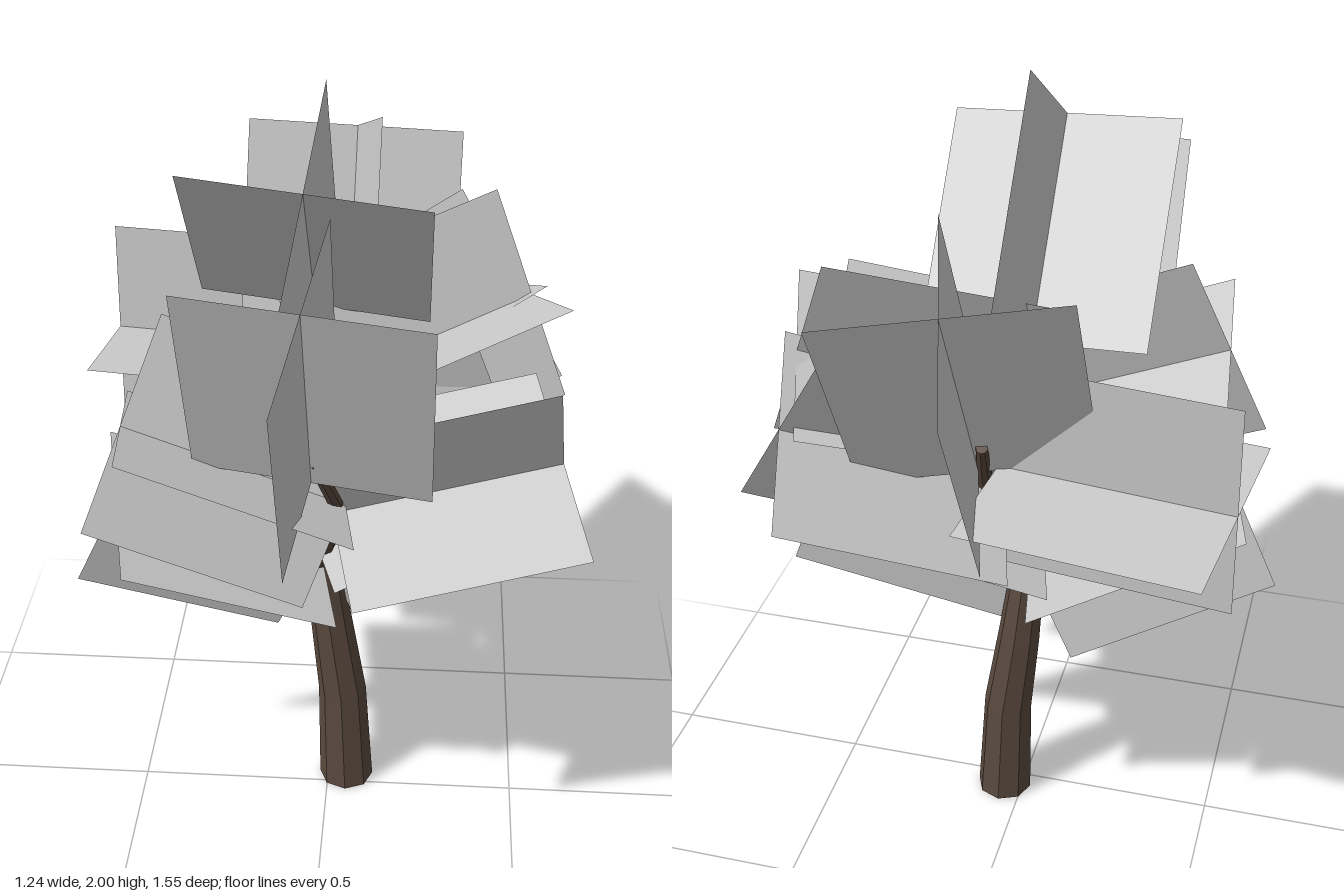
import * as THREE from 'three';

const V = (a) => new THREE.Vector3(...a);

// Tapered, faceted limb that follows a smooth path
function limb(name, points, r0, r1, segments, material) {
  const curve = new THREE.CatmullRomCurve3(points.map(V));
  const geometry = new THREE.CylinderGeometry(1, 1, 1, 8, segments);
  const pos = geometry.attributes.position;
  const up = new THREE.Vector3(0, 1, 0);
  const p = new THREE.Vector3();
  const turn = new THREE.Quaternion();
  for (let i = 0; i < pos.count; i++) {
    const t = THREE.MathUtils.clamp(pos.getY(i) + 0.5, 0, 1);
    const r = THREE.MathUtils.lerp(r0, r1, t);
    turn.setFromUnitVectors(up, curve.getTangent(t));
    p.set(pos.getX(i) * r, 0, pos.getZ(i) * r).applyQuaternion(turn).add(curve.getPoint(t));
    // The foot stays flat on the ground
    if (t === 0 && points[0][1] === 0) p.y = 0;
    pos.setXYZ(i, p.x, p.y, p.z);
  }
  geometry.computeVertexNormals();
  const mesh = new THREE.Mesh(geometry, material);
  mesh.name = name;
  return mesh;
}

// Two square cards crossing along the twig direction.
// tip: middle of the outer edge, along: inner to outer edge, half: half width of the first card
function leafCross(name, tip, along, half, material) {
  const group = new THREE.Group();
  group.name = name;
  const u = V(along);
  const axis = u.clone().normalize();
  const v = V(half);
  const width = v.length() * 2;
  v.addScaledVector(axis, -v.dot(axis)).normalize();
  const w = new THREE.Vector3().crossVectors(axis, v);
  const centre = V(tip).addScaledVector(u, -0.5);
  [[v, w], [w, v.clone().negate()]].forEach(([side, normal], i) => {
    const geometry = new THREE.PlaneGeometry(width, u.length());
    // side, axis and normal must form a right-handed frame
    const n = new THREE.Vector3().crossVectors(side, axis);
    geometry.applyMatrix4(new THREE.Matrix4().makeBasis(side, axis, n.lengthSq() ? n : normal).setPosition(centre));
    const mesh = new THREE.Mesh(geometry, material);
    mesh.name = `leafCard${i + 1}`;
    group.add(mesh);
  });
  return group;
}

export function createModel() {
  const tree = new THREE.Group();
  tree.name = 'tree';
  const bark = new THREE.MeshStandardMaterial({ color: 0x5a4a3f, flatShading: true });
  const leaf = new THREE.MeshStandardMaterial({ color: 0xcccccc, side: THREE.DoubleSide, flatShading: true });

  // Trunk and the three branches
  tree.add(
    limb('trunk', [[0.05, 0, -0.04], [0.03, 0.39, -0.045], [-0.012, 0.66, -0.04], [0.0, 0.87, -0.03]], 0.072, 0.036, 4, bark),
    limb('frontBranch', [[-0.02, 0.74, -0.02], [-0.01, 0.85, 0.1], [0.04, 1.03, 0.22], [-0.01, 1.24, 0.34]], 0.035, 0.014, 4, bark),
    limb('backBranch', [[0, 0.78, -0.04], [0.02, 0.95, -0.14], [0.03, 1.12, -0.25], [0.01, 1.28, -0.35]], 0.035, 0.014, 4, bark),
    limb('topBranch', [[0, 0.85, -0.03], [0.02, 1.08, -0.06], [0, 1.28, -0.07], [-0.03, 1.45, -0.06]], 0.034, 0.016, 4, bark),
  );

  // Crown: name, tip, direction, half width
  const crown = [
    ['frontLeaves', [-0.02, 1.69, 0.52], [-0.005, 0.51, 0.19], [0.27, -0.01, 0.042]],
    ['topLeaves', [-0.035, 1.83, 0.25], [0, 0.42, 0.34], [0.272, -0.02, 0.028]],
    ['backLeaves', [0.04, 1.69, -0.54], [0.01, 0.5, -0.23], [0.265, -0.035, -0.06]],
    ['leftBackLeaves', [0.445, 1.315, -0.44], [0.45, 0.21, -0.225], [0.07, 0.11, 0.24]],
    ['leftUpperLeaves', [0.48, 1.39, -0.225], [0.483, 0.146, -0.206], [0.08, 0.08, 0.245]],
    ['leftFrontLeaves', [0.555, 1.145, 0.155], [0.53, 0.1, -0.09], [0.06, -0.105, 0.24]],
    ['leftLowerLeaves', [0.45, 1.04, -0.145], [0.495, 0.2, -0.14], [0.08, 0, 0.28]],
    ['rightBackLeaves', [-0.56, 1.2, -0.36], [-0.55, 0, -0.07], [-0.035, 0.015, 0.27]],
    ['rightFrontLeaves', [-0.45, 1.265, 0.255], [-0.507, 0.2, 0.018], [-0.097, -0.25, 0.067]],
    ['rightLowerLeaves', [-0.51, 0.955, 0.095], [-0.49, 0.22, 0.14], [0.04, -0.035, 0.265]],
  ];
  for (const [name, tip, along, half] of crown) tree.add(leafCross(name, tip, along, half, leaf));
  return tree;
}
